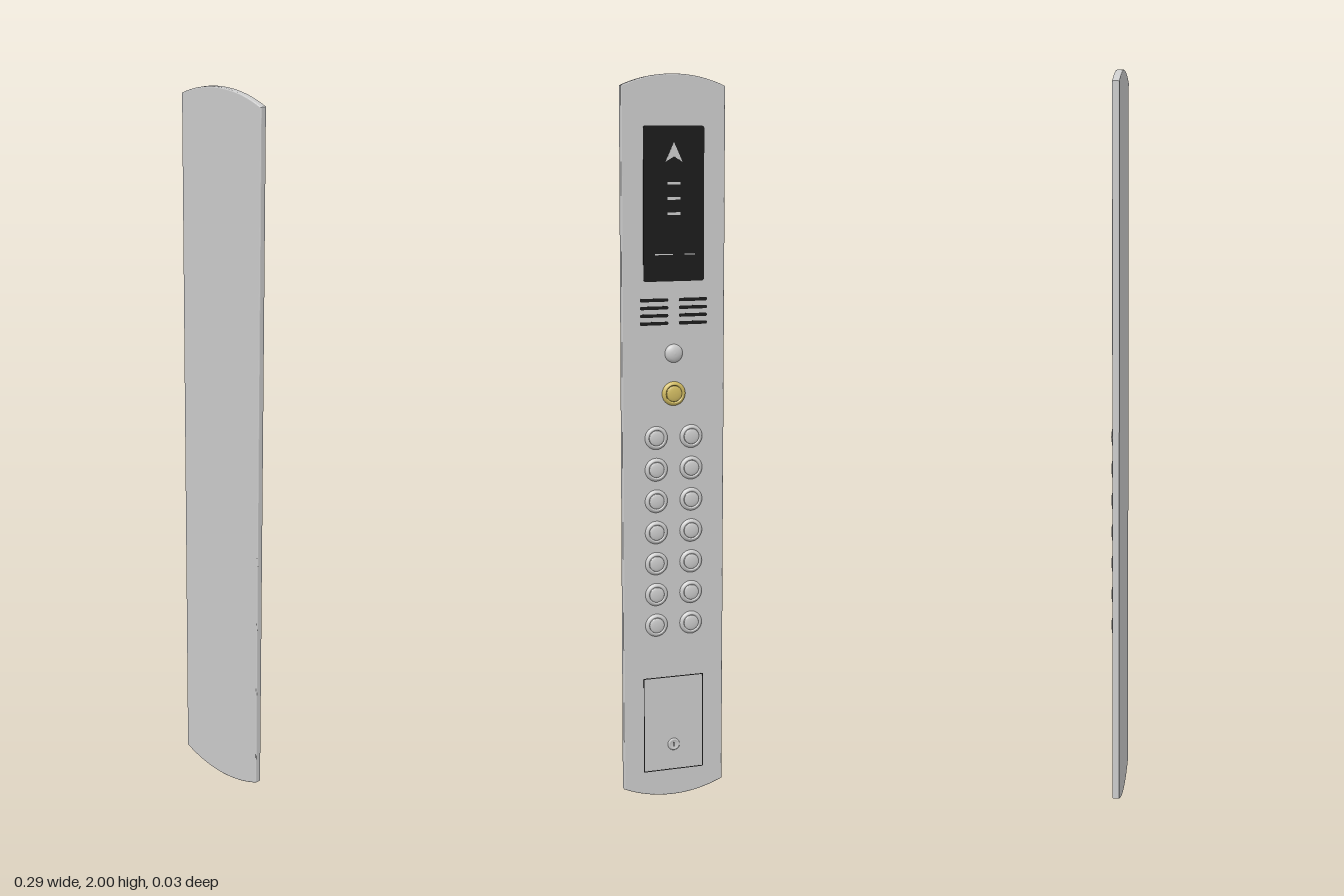
import * as THREE from 'three';

const mat = (color) => new THREE.MeshStandardMaterial({ color });
const grey = mat(0xcccccc);
const black = mat(0x1a1a1a);
const white = mat(0xf2f2f2);
const yellow = mat(0xd2bc62);

const FACE = 0.003; // height of the plate's working face

function add(parent, name, geometry, material, x = 0, y = 0, z = 0) {
  const mesh = new THREE.Mesh(geometry, material);
  mesh.name = name;
  mesh.position.set(x, y, z);
  parent.add(mesh);
  return mesh;
}

// Rectangle with rounded corners, centred on the origin
function roundedRect(w, h, r) {
  const x = w / 2, y = h / 2;
  const s = new THREE.Shape();
  s.moveTo(-x + r, -y);
  s.lineTo(x - r, -y);
  s.absarc(x - r, -y + r, r, -Math.PI / 2, 0);
  s.lineTo(x, y - r);
  s.absarc(x - r, y - r, r, 0, Math.PI / 2);
  s.lineTo(-x + r, y);
  s.absarc(-x + r, y - r, r, Math.PI / 2, Math.PI);
  s.lineTo(-x, -y + r);
  s.absarc(-x + r, -y + r, r, Math.PI, Math.PI * 1.5);
  return s;
}

const flat = (shape, depth) =>
  new THREE.ExtrudeGeometry(shape, { depth, bevelEnabled: false, curveSegments: 8 });

// Long plate with arched ends and softened edges
function plateGeometry() {
  const bevel = 0.003, half = 0.145 - bevel, low = 0.03 + bevel, high = 1.97 - bevel;
  const sag = 0.03;
  const R = (half * half + sag * sag) / (2 * sag);
  const a = Math.asin(half / R);
  const s = new THREE.Shape();
  s.moveTo(-half, low);
  s.absarc(0, bevel + R, R, -Math.PI / 2 - a, -Math.PI / 2 + a, false);
  s.lineTo(half, high);
  s.absarc(0, 2 - bevel - R, R, Math.PI / 2 - a, Math.PI / 2 + a, false);
  s.closePath();
  const g = new THREE.ExtrudeGeometry(s, {
    depth: 0.019 - 2 * bevel, bevelThickness: bevel, bevelSize: bevel,
    bevelSegments: 3, curveSegments: 32,
  });
  return g.translate(0, 0, -0.016 + bevel);
}

// Turned profile whose axis points out of the face
function turned(points) {
  const g = new THREE.LatheGeometry(points.map(([r, z]) => new THREE.Vector2(r, z)), 32);
  return g.rotateX(Math.PI / 2);
}

// Round push button: sloping bezel, narrow groove and domed cap
function addButton(parent, name, x, y, r, h, capMaterial, bezelMaterial = grey) {
  const button = new THREE.Group();
  button.name = name;
  button.position.set(x, y, FACE);
  parent.add(button);
  add(button, 'bezel', turned([
    [r, -0.001], [r, h * 0.2], [r * 0.94, h * 0.45], [r * 0.82, h * 0.68],
    [r * 0.72, h * 0.72], [r * 0.69, h * 0.4], [r * 0.6, h * 0.35],
  ]), bezelMaterial);
  const cap = [];
  for (let i = 0; i <= 6; i++) {
    const t = (i / 6) * Math.PI / 2;
    cap.push([r * 0.66 * Math.cos(t), h * (0.6 + 0.4 * Math.sin(t))]);
  }
  cap[6][0] = 0;
  add(button, 'cap', turned([[r * 0.66, h * 0.3], ...cap]), capMaterial);
}

export function createModel() {
  const model = new THREE.Group();
  model.name = 'liftControlPanel';
  // Built facing +z, then turned so the controls look towards -z
  const panel = new THREE.Group();
  panel.name = 'panel';
  panel.rotation.y = Math.PI;
  model.add(panel);

  add(panel, 'plate', plateGeometry(), grey);

  // Dark display window with its indicators
  const display = new THREE.Group();
  display.name = 'display';
  display.position.set(0, 1.66, FACE);
  panel.add(display);
  add(display, 'displayWindow', flat(roundedRect(0.17, 0.41, 0.006), 0.003), black);

  const arrow = new THREE.Shape();
  arrow.moveTo(0, 0.028);
  arrow.lineTo(-0.024, -0.024);
  arrow.lineTo(0, -0.01);
  arrow.lineTo(0.024, -0.024);
  arrow.closePath();
  add(display, 'directionArrow', flat(arrow, 0.0008), grey, 0, 0.135, 0.003);

  for (const y of [-0.04, 0, 0.04]) {
    add(display, 'indicatorBar', new THREE.BoxGeometry(0.036, 0.007, 0.001), grey, 0, 0.015 + y, 0.0032);
  }
  for (const [x, w] of [[-0.028, 0.05], [0.045, 0.03]]) {
    add(display, 'statusBar', new THREE.BoxGeometry(w, 0.003, 0.001), grey, x, -0.133, 0.0032);
  }

  // Speaker slots in two groups
  for (const side of [-1, 1]) {
    for (let i = 0; i < 4; i++) {
      add(panel, 'speakerSlot', flat(roundedRect(0.08, 0.009, 0.004), 0.0006), black,
        side * 0.055, 1.342 + i * 0.021, FACE);
    }
  }

  // Indicator lamp and alarm button
  add(panel, 'lamp', turned([
    [0.025, -0.001], [0.025, 0.003], [0.022, 0.008], [0.016, 0.0115], [0.008, 0.0135], [0, 0.014],
  ]), white, 0, 1.26, FACE);
  addButton(panel, 'alarmButton', 0, 1.15, 0.033, 0.012, yellow, yellow);

  // Two columns of floor buttons
  for (let row = 0; row < 7; row++) {
    for (const x of [-0.05, 0.05]) {
      addButton(panel, 'floorButton', x, 0.502 + row * 0.088, 0.032, 0.011, grey);
    }
  }

  // Service door outline and its lock
  const outline = roundedRect(0.175, 0.275, 0.002);
  outline.holes.push(roundedRect(0.170, 0.270, 0.001));
  add(panel, 'serviceDoorSeam', flat(outline, 0.0005), black, 0, 0.212, FACE);
  add(panel, 'lock', turned([
    [0.017, -0.001], [0.017, 0.004], [0.015, 0.006], [0.011, 0.006], [0.010, 0.004], [0, 0.004],
  ]), grey, 0, 0.15, FACE);
  add(panel, 'keySlot', new THREE.BoxGeometry(0.003, 0.012, 0.001), black, 0, 0.15, FACE + 0.0042);

  return model;
}
